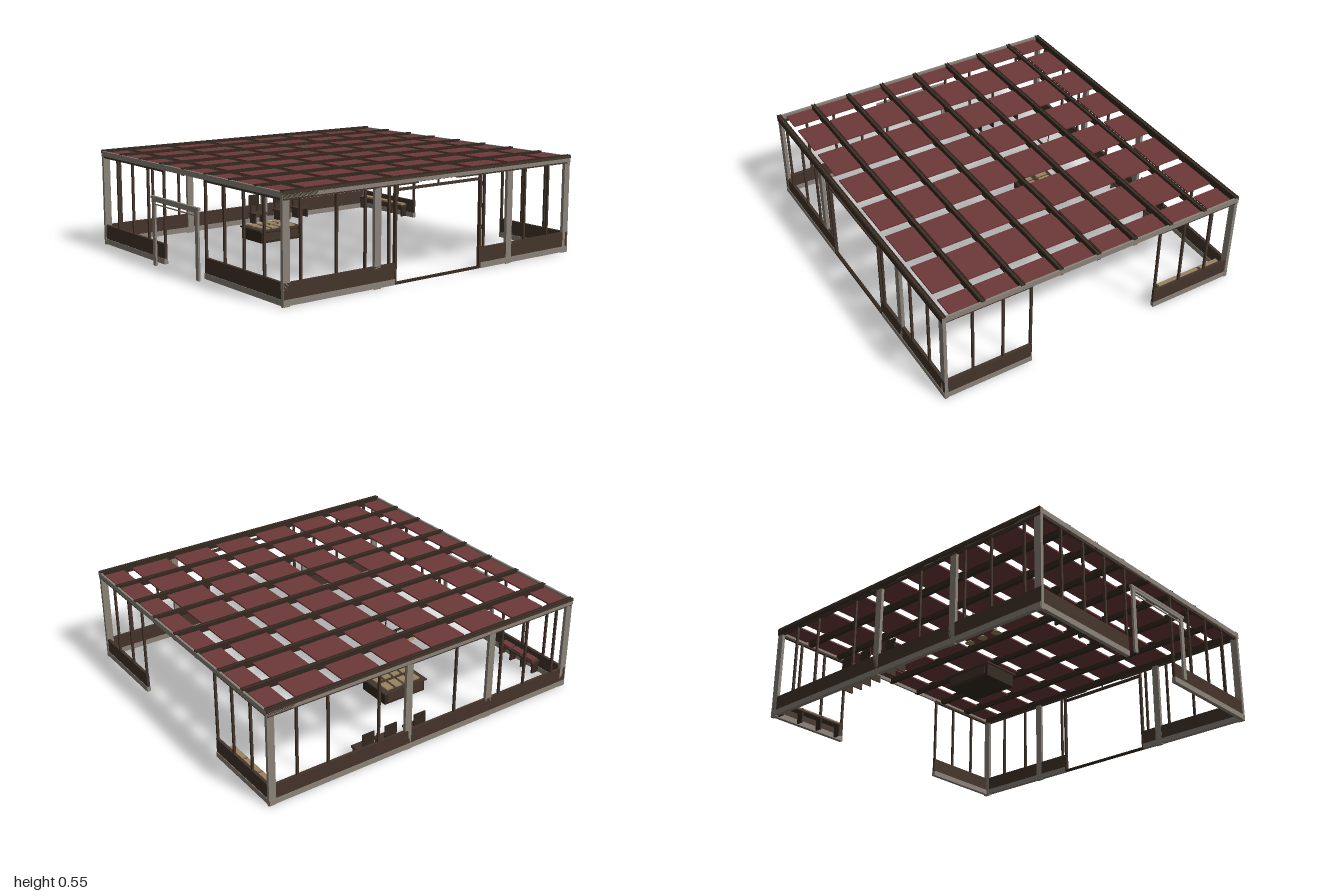
import * as THREE from 'three';

const paint = (color) => new THREE.MeshStandardMaterial({ color, side: THREE.DoubleSide });
const brown = paint(0x44342a), grey = paint(0x8a8278), red = paint(0x6e3838);
const dark = paint(0x33281f), tan = paint(0x9a8462);

// Box given by its limits on each axis
function box(parent, name, mat, x, y, z) {
  const g = new THREE.BoxGeometry(x[1] - x[0], y[1] - y[0], z[1] - z[0]);
  const m = new THREE.Mesh(g, mat);
  m.name = name;
  m.position.set((x[0] + x[1]) / 2, (y[0] + y[1]) / 2, (z[0] + z[1]) / 2);
  parent.add(m);
  return m;
}
const around = (c, w) => [c - w / 2, c + w / 2];

function group(parent, name) {
  const g = new THREE.Group();
  g.name = name;
  parent.add(g);
  return g;
}

// Straight wall run along an axis: sill, low panel, head rail and mullions
function wallRun(parent, name, axis, at, from, to, mullions) {
  const g = group(parent, name);
  const put = (n, mat, run, y, w) =>
    axis === 'x' ? box(g, n, mat, run, y, around(at, w)) : box(g, n, mat, around(at, w), y, run);
  put('sill', grey, [from, to], [0.005, 0.035], 0.022);
  put('lowPanel', brown, [from, to], [0.035, 0.115], 0.016);
  put('headRail', brown, [from, to], [0.5, 0.512], 0.016);
  for (const m of mullions) put('mullion', brown, around(m, 0.012), [0.115, 0.502], 0.012);
  return g;
}

function roof(parent) {
  const g = group(parent, 'roof');
  const beams = [-0.872, -0.66, -0.443, -0.222, 0, 0.22, 0.44, 0.66, 0.872];
  const bays = [[-0.84, -0.69], [-0.645, -0.465], [-0.42, -0.245], [-0.2, -0.025],
    [0.02, 0.2], [0.24, 0.42], [0.46, 0.64], [0.68, 0.835]];
  const rows = [[-0.98, -0.865], [-0.815, -0.595], [-0.545, -0.325], [-0.27, -0.055],
    [0, 0.217], [0.27, 0.49], [0.54, 0.76], [0.81, 0.925]];
  for (const x of beams) {
    box(g, 'roofBeam', dark, around(x, 0.022), [0.507, 0.541], [-0.997, 0.946]);
    // Raised lips with a paler channel between them
    for (const s of [-1, 1]) box(g, 'beamLip', dark, around(x + s * 0.008, 0.006), [0.541, 0.547], [-0.997, 0.946]);
    box(g, 'beamChannel', brown, around(x, 0.01), [0.541, 0.543], [-0.997, 0.946]);
  }
  for (const x of bays) for (const z of rows) box(g, 'roofPanel', red, x, [0.527, 0.535], z);
  // Perimeter beams
  for (const z of [0.943, -0.993]) box(g, 'endEave', grey, [-0.882, 0.882], [0.512, 0.54], around(z, 0.012));
  for (const x of [-0.877, 0.877]) {
    box(g, 'sideEave', grey, around(x, 0.012), [0.508, 0.528], [-0.999, 0.949]);
    box(g, 'sideGutter', brown, around(x, 0.014), [0.528, 0.543], [-0.999, 0.949]);
  }
}

function walls(parent) {
  for (const s of [-1, 1]) {
    const side = s > 0 ? 'left' : 'right';
    const span = (a) => (s > 0 ? [a, 0.88] : [-0.88, -a]);
    wallRun(parent, side + 'FrontWall', 'x', 0.935, ...span(0.2), [0.205, 0.375, 0.545, 0.715].map((x) => s * x));
    wallRun(parent, side + 'BackWall', 'x', -0.985, ...span(0.38), [0.386, 0.545, 0.715].map((x) => s * x));
  }
  // Side with the wide doorway
  wallRun(parent, 'leftSideFront', 'z', 0.872, 0.27, 0.945, [0.84, 0.63, 0.455, 0.305]);
  wallRun(parent, 'leftSideBack', 'z', 0.872, -0.995, -0.32, [-0.345, -0.65, -0.83]);
  // Closed side
  wallRun(parent, 'rightSideWall', 'z', -0.872, -0.995, 0.945,
    [0.84, 0.63, 0.455, 0.145, -0.345, -0.65, -0.83]);
  const columns = { 1: [0.927, 0.38, -0.53, -0.977], '-1': [0.927, 0.38, -0.16, -0.977] };
  for (const s of [1, -1]) for (const z of columns[s])
    box(parent, 'column', grey, around(s * 0.871, 0.018), [0.0, 0.512], around(z, 0.04));
}

function doorway(parent) {
  const g = group(parent, 'sideDoorway');
  const x = around(0.872, 0.018);
  for (const z of [0.265, -0.315]) box(g, 'doorPost', brown, x, [0.005, 0.505], around(z, 0.012));
  box(g, 'doorHead', brown, x, [0.473, 0.485], [-0.32, 0.27]);
  box(g, 'threshold', dark, x, [0.005, 0.016], [-0.32, 0.27]);
  box(g, 'doorRail', brown, x, [0.5, 0.512], [0.12, 0.28]);
  box(g, 'doorRail', brown, x, [0.5, 0.512], [-0.32, -0.15]);
  box(g, 'doorDivider', brown, around(0.872, 0.006), [0.485, 0.505], around(-0.02, 0.006));
}

// Free-standing entrance gate
function gate(parent) {
  const g = group(parent, 'entranceGate');
  for (const s of [-1, 1]) box(g, 'gatePost', grey, around(s * 0.214, 0.026), [0.005, 0.35], [0.987, 0.998]);
  box(g, 'gateLintel', grey, [-0.228, 0.228], [0.35, 0.366], [0.986, 0.998]);
  box(g, 'gateCap', grey, [-0.236, 0.236], [0.364, 0.378], [0.984, 1]);
  box(g, 'gateRail', grey, [-0.202, 0.202], [0.332, 0.338], [0.99, 0.995]);
}

function counter(parent) {
  const g = group(parent, 'counter');
  box(g, 'counterBase', dark, [-0.49, -0.29], [0.012, 0.078], [-0.01, 0.26]);
  box(g, 'counterTop', brown, [-0.5, -0.28], [0.078, 0.086], [-0.02, 0.27]);
  for (const x of [-0.288, -0.492]) box(g, 'counterInset', brown, around(x, 0.006), [0.025, 0.068], [0.005, 0.245]);
  // Items laid out on top
  for (let i = 0; i < 4; i++) for (let j = 0; j < 2; j++)
    box(g, 'tray', tan, around(-0.44 + j * 0.1, 0.07), [0.086, 0.094], around(0.035 + i * 0.06, 0.045));
}

function lamps(parent) {
  const g = group(parent, 'hangingLamps');
  box(g, 'lampBar', dark, around(-0.39, 0.01), [0.381, 0.389], [0.015, 0.25]);
  const rod = (z, y) => box(g, 'lampRod', dark, around(-0.39, 0.004), y, around(z, 0.004));
  for (const z of [0.06, 0.205]) rod(z, [0.387, 0.527]);
  for (const z of [0.04, 0.133, 0.228]) {
    rod(z, [0.315, 0.382]);
    const shade = new THREE.Mesh(new THREE.CylinderGeometry(0.005, 0.026, 0.016, 20, 1, true), tan);
    shade.name = 'lampShade';
    shade.position.set(-0.39, 0.309, z);
    g.add(shade);
  }
}

function chair(parent, z) {
  const g = group(parent, 'chair');
  box(g, 'chairSeat', brown, [-0.858, -0.775], [0.066, 0.077], around(z, 0.088));
  box(g, 'chairBack', dark, [-0.865, -0.858], [0.115, 0.182], around(z, 0.074));
  for (const s of [-1, 1]) {
    box(g, 'backStay', dark, [-0.863, -0.858], [0.07, 0.12], around(z + s * 0.025, 0.006));
    box(g, 'chairSide', brown, [-0.85, -0.785], [0.012, 0.066], around(z + s * 0.036, 0.007));
  }
}

// Wall bench on legs with cushions
function bench(parent, name, x, z, cushion) {
  const g = group(parent, name);
  box(g, 'benchTop', brown, x, [0.07, 0.08], z);
  const n = 3, w = (x[1] - x[0]) / n;
  for (let i = 0; i < n; i++) {
    const a = x[0] + i * w;
    box(g, 'cushion', cushion, [a + 0.008, a + w - 0.008], [0.08, 0.09], [z[0] + 0.006, z[1] - 0.006]);
  }
  for (let i = 0; i <= n; i++)
    box(g, 'benchLeg', dark, around(x[0] + 0.006 + i * (w - 0.004), 0.01), [0.008, 0.07], [z[0] + 0.005, z[1] - 0.005]);
}

export function createModel() {
  const model = new THREE.Group();
  model.name = 'pavilion';
  roof(model);
  walls(model);
  doorway(model);
  gate(model);
  counter(model);
  lamps(model);
  for (const z of [-0.075, -0.26, -0.4]) chair(model, z);
  bench(model, 'backBench', [-0.855, -0.44], [-0.975, -0.925], tan);
  bench(model, 'frontBench', [-0.7, -0.42], [0.87, 0.925], red);
  return model;
}
